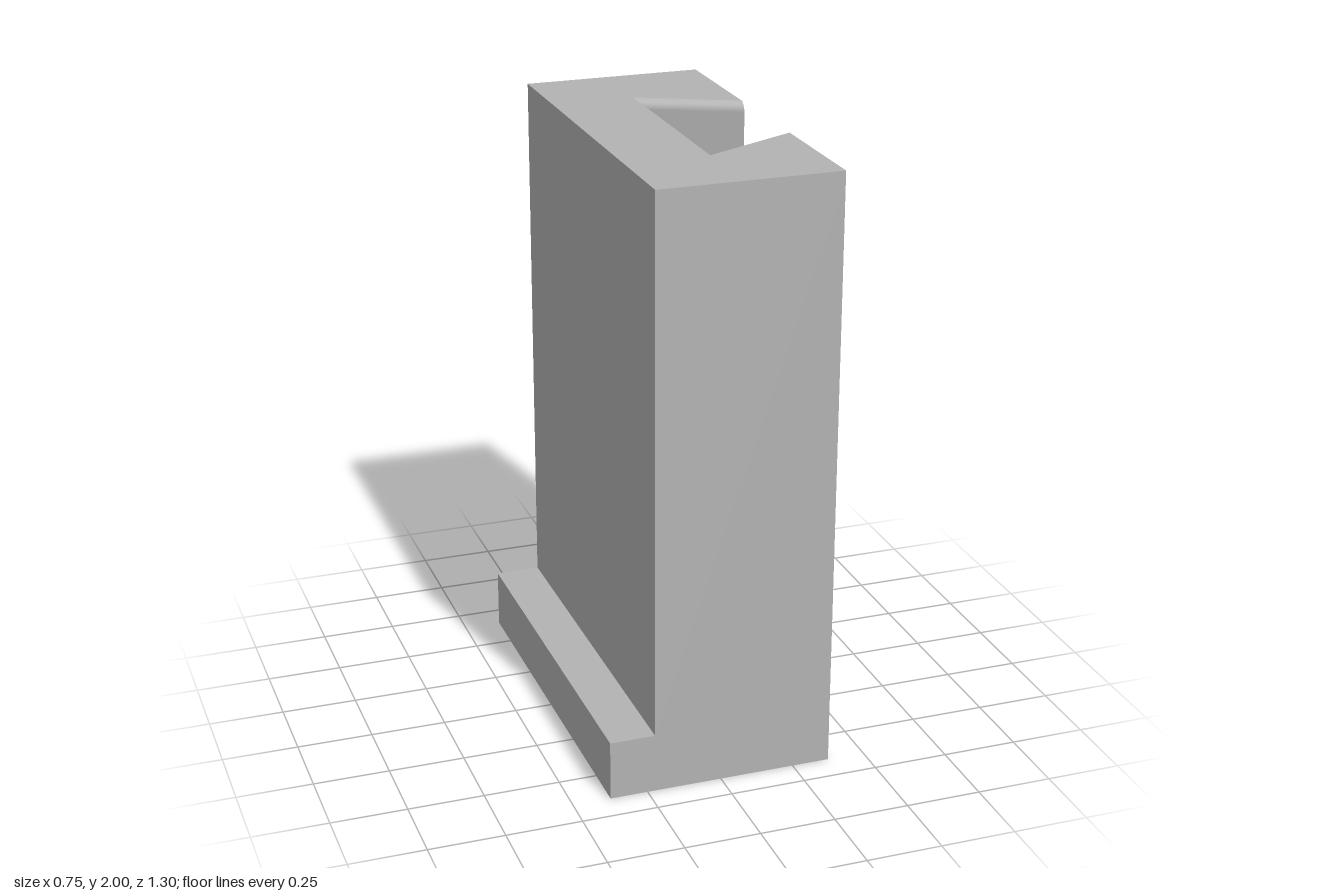
import * as THREE from 'three';
import { mergeGeometries } from 'three/addons/utils/BufferGeometryUtils.js';

const FLOOR = 0.2, TOP = 2, RIGHT = 0.375, BACK = -0.225, DEPTH = 0.65;

// Plan outline [x, z] of the block with its dovetail slot widened by o
function outline(o) {
  const slotX = 0.071 - o;
  const mouth = 0.183 + 1.114 * o;
  const inner = mouth + (RIGHT - slotX) * 0.49;
  const half = [[BACK, DEPTH], [RIGHT, DEPTH], [RIGHT, mouth], [slotX, inner]];
  return [...half, ...half.map(([x, z]) => [x, -z]).reverse()];
}

// One wall: a smooth vertical strip between outline points j and j + 1
function wall(levels, j) {
  const pos = [], index = [];
  levels.forEach(({ y, o }, i) => {
    const pts = outline(o);
    for (const k of [j, (j + 1) % pts.length]) pos.push(pts[k][0], y, pts[k][1]);
    if (i > 0) {
      const a = 2 * i - 2;
      index.push(a, a + 1, a + 3, a, a + 3, a + 2);
    }
  });
  const g = new THREE.BufferGeometry();
  g.setAttribute('position', new THREE.Float32BufferAttribute(pos, 3));
  g.setIndex(index);
  g.computeVertexNormals();
  return g;
}

export function createModel() {
  const group = new THREE.Group();
  const grey = new THREE.MeshStandardMaterial({ color: 0xb3b3b3 });
  grey.name = 'grey';
  const add = (name, geometry) => {
    const mesh = new THREE.Mesh(geometry, grey);
    mesh.name = name;
    group.add(mesh);
    return mesh;
  };

  // Base plate, forming the ledge and the slot floor
  add('base', new THREE.BoxGeometry(0.75, FLOOR, 2 * DEPTH)).position.y = FLOOR / 2;

  // Walls rise straight, then the slot edges round outward at the top
  const radius = 0.04, steps = 5, levels = [{ y: FLOOR, o: 0 }];
  for (let i = 0; i <= steps; i++) {
    const a = (i / steps) * Math.PI / 3;
    levels.push({
      y: TOP - radius * (Math.sin(Math.PI / 3) - Math.sin(a)),
      o: radius * (1 - Math.cos(a)),
    });
  }
  const rim = outline(levels[levels.length - 1].o);
  add('slottedWalls', mergeGeometries(rim.map((_, j) => wall(levels, j))));

  // Top face around the slot
  const shape = new THREE.Shape(rim.map(([x, z]) => new THREE.Vector2(x, -z)));
  const top = add('topFace', new THREE.ShapeGeometry(shape).rotateX(-Math.PI / 2));
  top.position.y = TOP;

  return group;
}
